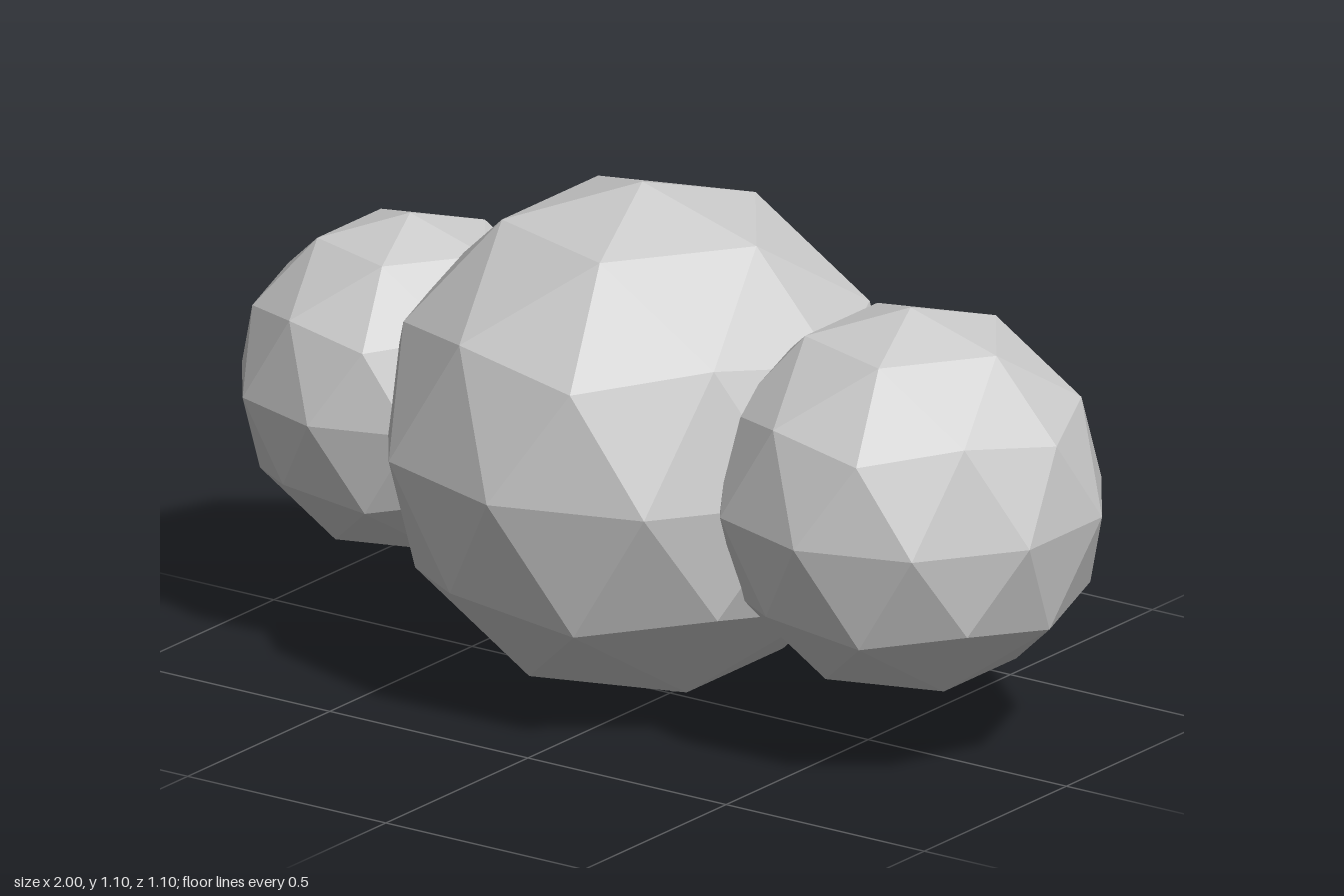
import * as THREE from 'three';

export function createModel() {
  const group = new THREE.Group();
  const material = new THREE.MeshStandardMaterial({ color: 0xcccccc, flatShading: true });

  // Angle that turns one corner of the icosahedron straight up
  const poleTilt = -Math.atan(2 / (1 + Math.sqrt(5)));

  // Low-poly ball with a corner at its top and bottom
  function addBall(name, radius, x) {
    const geometry = new THREE.IcosahedronGeometry(radius, 1);
    geometry.rotateZ(poleTilt);
    geometry.computeVertexNormals();
    const ball = new THREE.Mesh(geometry, material);
    ball.name = name;
    ball.position.set(x, 0.549, 0);
    group.add(ball);
  }

  // Large middle ball with a smaller one sunk into each side
  addBall('middleBall', 0.548, -0.07);
  addBall('leftBall', 0.412, 0.607);
  addBall('rightBall', 0.362, -0.656);

  return group;
}
